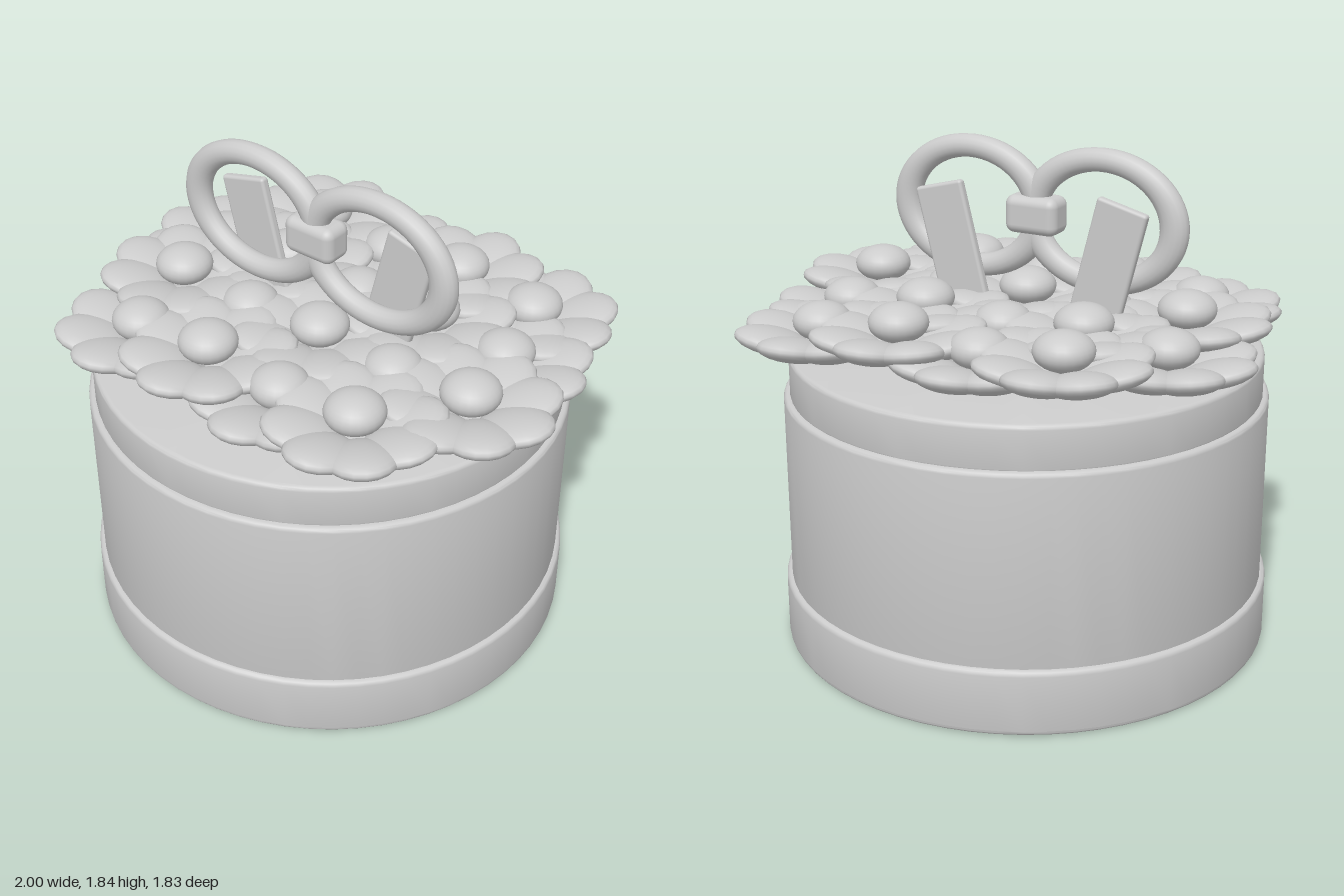
import * as THREE from 'three';
import { toCreasedNormals } from 'three/addons/utils/BufferGeometryUtils.js';
import { RoundedBoxGeometry } from 'three/addons/geometries/RoundedBoxGeometry.js';

const material = new THREE.MeshStandardMaterial({ color: 0xcccccc });
const AXIS_X = -0.043; // the box and bow sit slightly off the flower spread

function part(name, geometry, x = 0, y = 0, z = 0) {
  const mesh = new THREE.Mesh(geometry, material);
  mesh.name = name;
  mesh.position.set(x, y, z);
  return mesh;
}

// Solid drum with softly rounded rims
function drum(radius, bottom, top, bevel) {
  const profile = [new THREE.Vector2(0, bottom)];
  for (let i = 0; i <= 4; i++) {
    const a = (i / 4) * Math.PI / 2;
    profile.push(new THREE.Vector2(radius - bevel + bevel * Math.sin(a), bottom + bevel - bevel * Math.cos(a)));
  }
  for (let i = 0; i <= 4; i++) {
    const a = (i / 4) * Math.PI / 2;
    profile.push(new THREE.Vector2(radius - bevel + bevel * Math.cos(a), top - bevel + bevel * Math.sin(a)));
  }
  profile.push(new THREE.Vector2(0, top));
  return toCreasedNormals(new THREE.LatheGeometry(profile, 64), 0.5);
}

// Eight cupped petals around a domed centre
const petalGeometry = new THREE.SphereGeometry(1, 18, 12).scale(0.14, 0.045, 0.122).rotateZ(0.25).translate(0.18, 0, 0);
const centreGeometry = new THREE.SphereGeometry(1, 24, 16).scale(0.107, 0.07, 0.107);

function createFlower(x, y, z) {
  const flower = new THREE.Group();
  flower.name = 'flower';
  flower.position.set(x, y, z);
  for (let i = 0; i < 8; i++) {
    const petal = part('petal', petalGeometry);
    petal.rotation.y = (i * Math.PI) / 4;
    flower.add(petal);
  }
  flower.add(part('flowerCentre', centreGeometry, 0, 0.06, 0));
  return flower;
}

export function createModel() {
  const model = new THREE.Group();
  model.name = 'flowerBox';

  // Round box
  model.add(part('baseBand', drum(0.913, 0, 0.247, 0.02), AXIS_X));
  model.add(part('boxBody', drum(0.893, 0.2, 0.955, 0.018), AXIS_X));
  model.add(part('upperRim', drum(0.87, 0.94, 1.112, 0.018), AXIS_X));
  model.add(part('flowerBed', new THREE.CylinderGeometry(0.53, 0.53, 0.1, 48), AXIS_X, 1.145, 0));

  // Staggered rows of flowers, alternating high and low
  const rows = [
    { z: -0.482, x: -0.45, count: 4, firstHigh: true },
    { z: -0.172, x: -0.69, count: 5, firstHigh: false },
    { z: 0.15, x: -0.615, count: 5, firstHigh: true },
    { z: 0.473, x: -0.53, count: 4, firstHigh: false },
  ];
  const flowers = new THREE.Group();
  flowers.name = 'flowers';
  for (const row of rows) {
    for (let i = 0; i < row.count; i++) {
      const high = (i % 2 === 0) === row.firstHigh;
      flowers.add(createFlower(row.x + i * 0.324, high ? 1.22 : 1.177, row.z));
    }
  }
  model.add(flowers);

  // Bow: two oval loops, a knot and two splayed tails
  const bow = new THREE.Group();
  bow.name = 'bow';
  bow.position.set(AXIS_X, 1.577, 0.075);
  const loopGeometry = new THREE.TorusGeometry(0.223, 0.043, 16, 64).scale(1.25, 1, 1);
  const tailGeometry = new RoundedBoxGeometry(0.2, 0.46, 0.035, 3, 0.012);
  for (const side of [-1, 1]) {
    bow.add(part(side > 0 ? 'leftLoop' : 'rightLoop', loopGeometry, side * 0.267, 0, 0));
    const tail = part(side > 0 ? 'leftTail' : 'rightTail', tailGeometry, side * 0.319, -0.14, -0.058);
    tail.rotation.z = -side * 0.25;
    bow.add(tail);
  }
  bow.add(part('knot', new RoundedBoxGeometry(0.21, 0.14, 0.125, 4, 0.035), 0, 0, -0.003));
  model.add(bow);

  return model;
}
